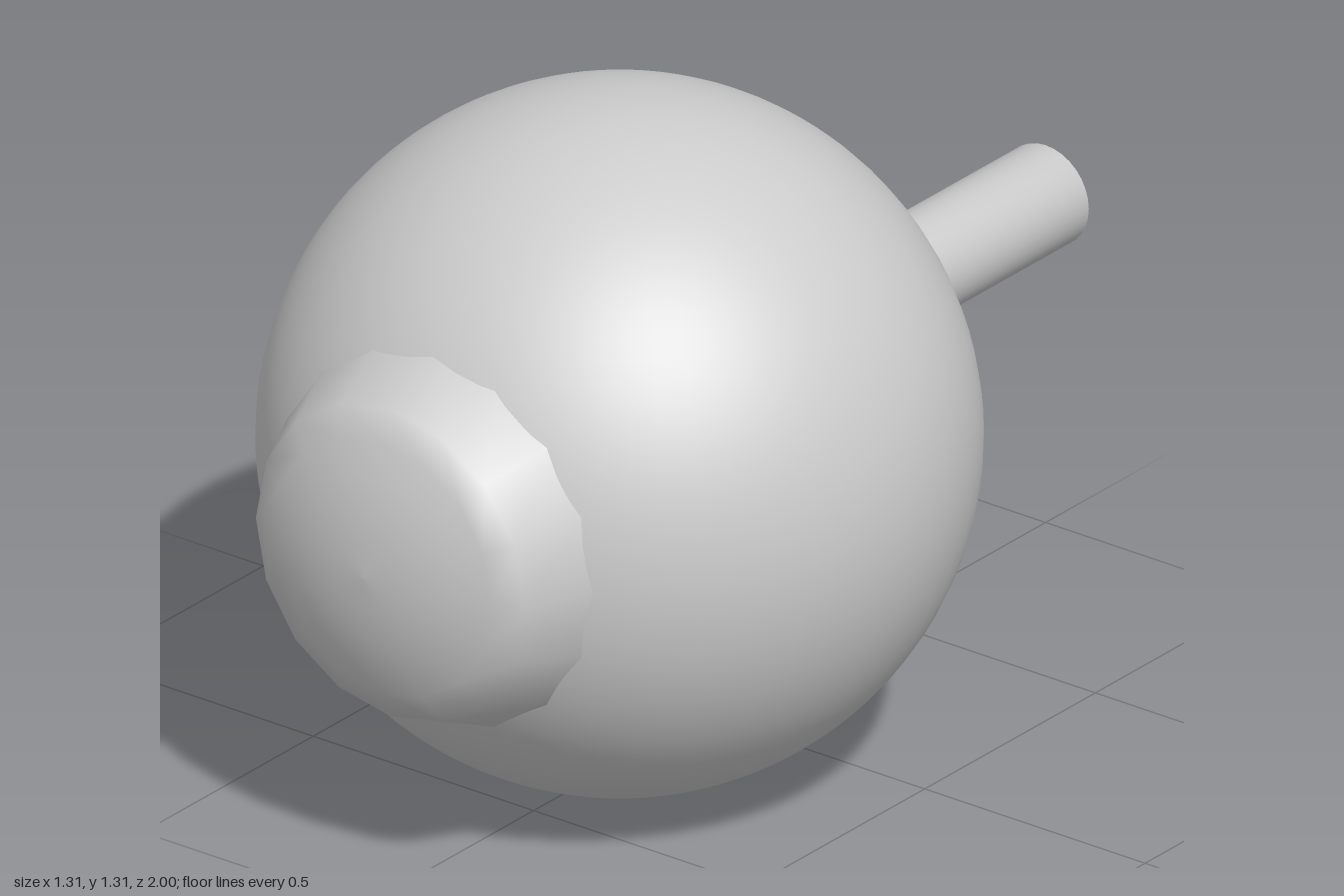
import * as THREE from 'three';

const CENTER_Y = 0.66;

// Revolves [radius, z] points (listed back to front) around the z axis.
function turned(name, profile, sides, material) {
  const points = profile.map(([r, z]) => new THREE.Vector2(r, z));
  const geometry = new THREE.LatheGeometry(points, sides);
  geometry.rotateX(Math.PI / 2);
  const mesh = new THREE.Mesh(geometry, material);
  mesh.name = name;
  mesh.position.y = CENTER_Y;
  return mesh;
}

export function createModel() {
  const group = new THREE.Group();
  const grey = new THREE.MeshStandardMaterial({ color: 0xcccccc });
  grey.name = 'light grey';

  // Round body
  const body = new THREE.Mesh(new THREE.SphereGeometry(0.654, 64, 48), grey);
  body.name = 'body';
  body.position.set(0, CENTER_Y, 0.248);
  group.add(body);

  // Raised front: tapered rim closed by a shallow dome
  const front = [[0.385, 0.73], [0.365, 0.785], [0.305, 0.92]];
  const domeRadius = 0.62;
  for (const r of [0.25, 0.19, 0.13, 0.065, 0]) {
    front.push([r, 1 - domeRadius + Math.sqrt(domeRadius ** 2 - r ** 2)]);
  }
  group.add(turned('raisedFront', front, 16, grey));

  // Rod at the back, with a flat end shaded smoothly into its side
  group.add(turned('rod', [[0, -1], [0.098, -1], [0.098, -0.36]], 32, grey));

  return group;
}
